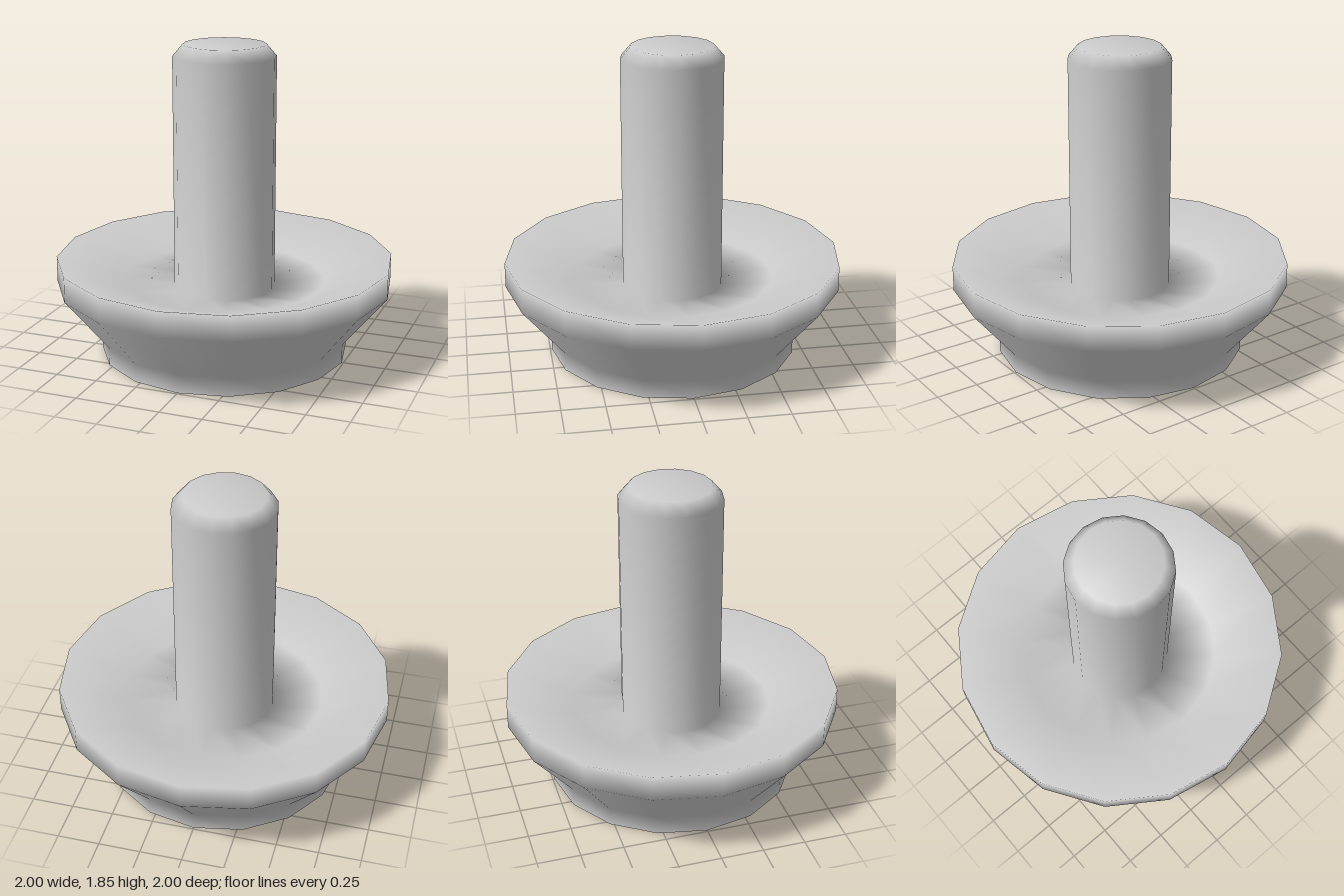
import * as THREE from 'three';

const SIDES = 16;

export function createModel() {
  const group = new THREE.Group();
  const material = new THREE.MeshStandardMaterial({ color: 0xcccccc, side: THREE.DoubleSide });

  // One continuous open-bottomed shell, as radius and height pairs
  const profile = [
    [0.74, 0], [0.74, 0.11],                              // foot ring
    [1, 0.43], [1, 0.58],                                 // flared wall and rim
    [0.6, 0.44], [0.3, 0.4],                              // sunken dish
    [0.3, 1.78], [0.24, 1.85], [0, 1.85],                 // stem with bevelled tip
  ].map(([r, y]) => new THREE.Vector2(r, y));

  const shell = new THREE.Mesh(new THREE.LatheGeometry(profile, SIDES), material);
  shell.name = 'flaredBaseAndStem';
  group.add(shell);
  return group;
}
